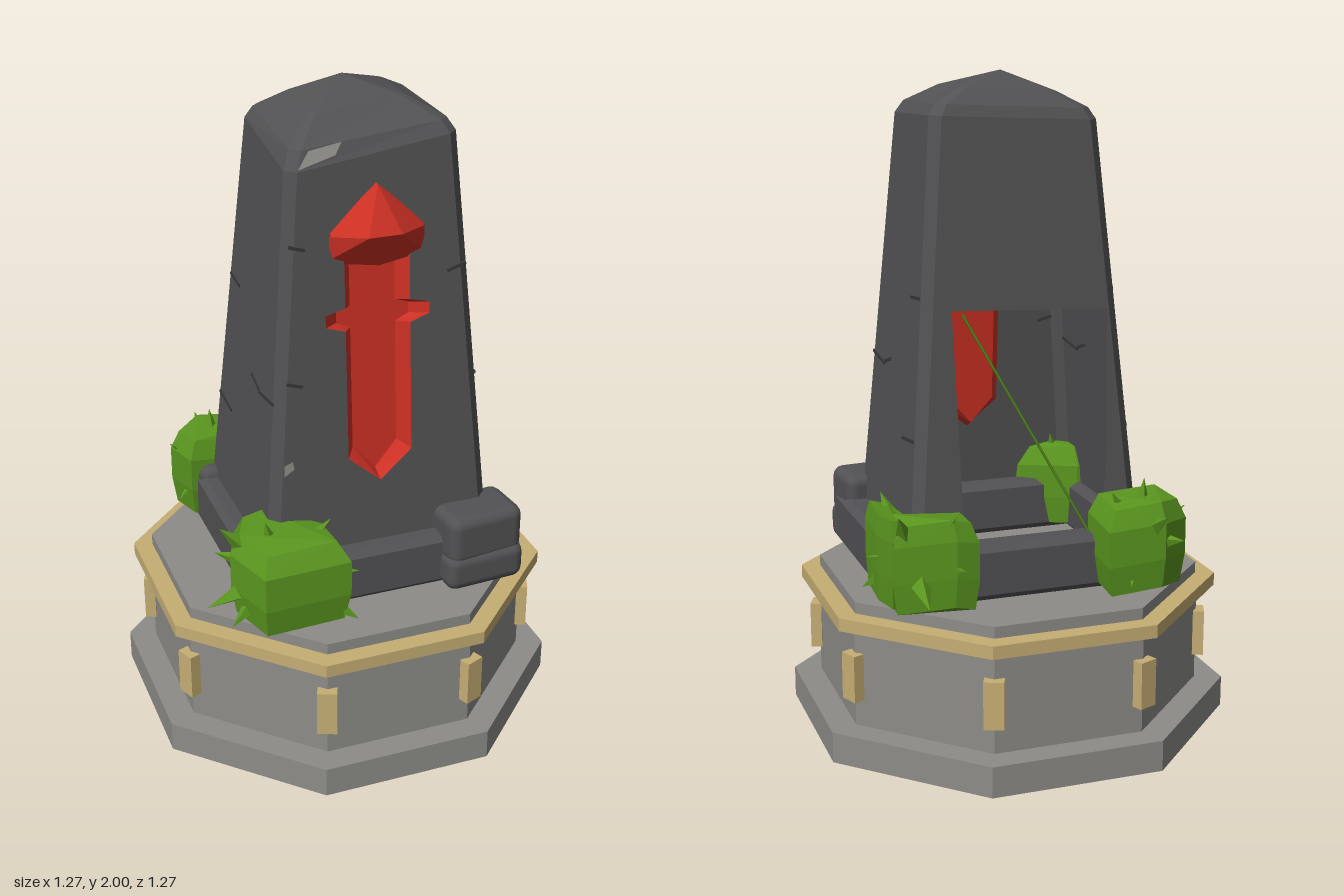
import * as THREE from 'three';
import { ConvexGeometry } from 'three/addons/geometries/ConvexGeometry.js';
import { RoundedBoxGeometry } from 'three/addons/geometries/RoundedBoxGeometry.js';

const mat = (name, color) => new THREE.MeshStandardMaterial({ name, color, side: THREE.DoubleSide });
const V = (x, y, z) => new THREE.Vector3(x, y, z);

// Tapering faces of the monument as functions of height
const left = y => -0.31 + (y - 0.8) * 0.084;
const right = y => 0.38 - (y - 0.8) * 0.084;
const front = y => 0.3 - (y - 0.8) * 0.07;
const back = y => -0.29 + (y - 0.8) * 0.093;

export function createModel() {
  const paleStone = mat('pale stone', 0x8d8c88);
  const gold = mat('gold trim', 0xc6ae74);
  const darkStone = mat('dark stone', 0x525254);
  const crackStone = mat('crack', 0x38383a);
  const red = mat('red', 0xcc3024);
  const green = mat('leaf green', 0x5a961f);

  const model = new THREE.Group();
  const add = (name, geo, material, parent = model) => {
    const m = new THREE.Mesh(geo, material);
    m.name = name;
    parent.add(m);
    return m;
  };
  const flat = geo => {
    const g = geo.index ? geo.toNonIndexed() : geo;
    g.computeVertexNormals();
    return g;
  };
  // Flat-shaded surface from quads and triangles of points
  const surface = polys => {
    const pts = [];
    for (const p of polys) for (let i = 1; i < p.length - 1; i++) pts.push(p[0], p[i], p[i + 1]);
    const g = new THREE.BufferGeometry().setFromPoints(pts);
    g.computeVertexNormals();
    return g;
  };
  // Upright panel leaned onto a sloping face
  const panel = (shape, depth) => {
    const g = new THREE.ShapeGeometry(shape);
    const p = g.attributes.position;
    for (let i = 0; i < p.count; i++) p.setZ(i, depth(p.getY(i)));
    return flat(g);
  };
  const shapeOf = pts => new THREE.Shape(pts.map(p => new THREE.Vector2(p[0], p[1])));

  // Octagonal pedestal
  const octagon = (name, apothem, y0, y1, material) => {
    const r = apothem / Math.cos(Math.PI / 8);
    const g = new THREE.CylinderGeometry(r, r, y1 - y0, 8).rotateY(Math.PI / 8).translate(0, (y0 + y1) / 2, 0);
    add(name, flat(g), material);
  };
  octagon('plinth', 0.635, 0, 0.095, paleStone);
  octagon('drum', 0.555, 0.095, 0.41, paleStone);
  octagon('goldRim', 0.605, 0.405, 0.445, gold);
  octagon('pedestalTop', 0.55, 0.44, 0.48, paleStone);
  for (let i = 0; i < 8; i++) {
    const a = Math.PI / 8 + i * Math.PI / 4;
    const stud = add('goldStud', new THREE.BoxGeometry(0.06, 0.145, 0.035), gold);
    stud.position.set(Math.sin(a) * 0.608, 0.252, Math.cos(a) * 0.608);
    stud.rotation.y = a;
  }

  // Stone kerb around the foot, open in the middle
  const kerbShape = shapeOf([[-0.36, -0.35], [0.445, -0.35], [0.445, 0.335], [-0.36, 0.335]]);
  kerbShape.holes.push(shapeOf([[-0.31, -0.27], [-0.31, 0.28], [0.36, 0.28], [0.36, -0.27]]));
  const kerb = new THREE.ExtrudeGeometry(kerbShape, {
    depth: 0.13, bevelEnabled: true, bevelThickness: 0.02, bevelSize: 0.02, bevelSegments: 1
  }).rotateX(-Math.PI / 2).translate(0, 0.5, 0);
  add('kerb', kerb, darkStone);

  // Corner boulders: x, y, z, width, height, depth, turn
  const boulders = [
    [0.335, 0.645, 0.33, 0.25, 0.16, 0.18, 0.1], [0.335, 0.54, 0.335, 0.26, 0.12, 0.19, 0.06],
    [-0.3, 0.58, -0.29, 0.15, 0.2, 0.13, 0], [0.39, 0.58, -0.28, 0.15, 0.2, 0.13, 0]
  ];
  for (const [x, y, z, w, h, d, turn] of boulders) {
    const b = add('cornerBoulder', new RoundedBoxGeometry(w, h, d, 2, 0.035), darkStone);
    b.position.set(x, y, z);
    b.rotation.y = turn;
  }

  // Monument shaft: chamfered rings, corner heights FL, FR, BR, BL
  const c = 0.03;
  const ring = ([fl, fr, br, bl]) => [
    V(left(fl) + c, fl, front(fl)), V(right(fr) - c, fr, front(fr)),
    V(right(fr), fr, front(fr) - c), V(right(br), br, back(br) + c),
    V(right(br) - c, br, back(br)), V(left(bl) + c, bl, back(bl)),
    V(left(bl), bl, back(bl) + c), V(left(fl), fl, front(fl) - c)
  ];
  const foot = ring([0.48, 0.48, 0.48, 0.48]);
  const shoulder = ring([1.81, 1.87, 1.88, 1.86]);
  const peak = V(0.03, 2.0, -0.03);
  const crown = shoulder.map(p => {
    const q = p.clone().lerp(peak, 0.42);
    q.y = p.x > 0 ? 1.955 : 1.94;
    return q;
  });
  // Softer break just above the shoulder
  const brow = shoulder.map((p, i) => {
    const q = p.clone().lerp(crown[i], 0.2);
    q.y = p.y + (crown[i].y - p.y) * 0.42;
    return q;
  });
  const band = (a, b, skip = []) => a.map((p, i) => [p, a[(i + 1) % 8], b[(i + 1) % 8], b[i]])
    .filter((_, i) => !skip.includes(i));
  add('shaftSides', surface(band(foot, shoulder, [0, 4])), darkStone);
  add('shaftCap', surface([...band(shoulder, brow), ...band(brow, crown),
    ...crown.map((p, i) => [p, crown[(i + 1) % 8], peak])]), darkStone);

  // Front face with a sunken sword outline
  const half = [[0.1, 1.56], [0.1, 1.4], [0.16, 1.385], [0.16, 1.35], [0.1, 1.33], [0.1, 0.93]];
  const sword = [...half, [0, 0.845], ...half.slice().reverse().map(([x, y]) => [-x, y])];
  const rim = sword.map(([x, y]) => [x + 0.035, y]);
  const floor = sword.map(([x, y]) => [x * 0.7 + 0.035, 1.2 + (y - 1.2) * 0.94]);
  const faceShape = shapeOf([foot[0], foot[1], shoulder[1], shoulder[0]].map(p => [p.x, p.y]));
  faceShape.holes.push(shapeOf(rim));
  add('shaftFront', panel(faceShape, front), darkStone);
  const sunk = y => front(y) - 0.045;
  add('swordFloor', panel(shapeOf(floor), sunk), red);
  const onFace = (list, f) => list.map(([x, y]) => V(x, y, f(y)));
  const outer = onFace(rim, front), inner = onFace(floor, sunk), n = outer.length;
  add('swordWalls', surface(outer.map((p, i) => [p, outer[(i + 1) % n], inner[(i + 1) % n], inner[i]])), red);

  // Faceted pommel standing out from the front
  const pommel = [[0.035, 1.76], [0.175, 1.64], [0.19, 1.53], [0.035, 1.515], [-0.118, 1.535], [-0.105, 1.64]]
    .map(([x, y]) => V(x, y, front(y) - 0.02));
  pommel.push(V(0.175, 1.62, 0.255), V(-0.105, 1.62, 0.255), V(-0.02, 1.63, 0.325), V(0.08, 1.63, 0.325),
    V(0.035, 1.52, 0.262), V(0.035, 1.755, 0.245));
  add('pommel', flat(new ConvexGeometry(pommel)), red);

  // Broken back face: whole above, open below
  const backShape = shapeOf([foot[5], foot[4], shoulder[4], shoulder[5]].map(p => [p.x, p.y]));
  backShape.holes.push(shapeOf([[0.25, 1.33], [-0.23, 1.31], [-0.22, 0.9], [-0.18, 0.49], [0.23, 0.49]]));
  add('shaftBack', panel(backShape, back), darkStone);
  add('hangingVine', new THREE.TubeGeometry(
    new THREE.LineCurve3(V(0.22, 1.32, -0.245), V(-0.18, 0.6, -0.31)), 1, 0.004, 4), green);

  // Worn pale patches
  const onCap = (u, v) => shoulder[0].clone().lerp(shoulder[1], u)
    .lerp(brow[0].clone().lerp(brow[1], u), v).add(V(0, 0.004, 0.004));
  add('wornPatch', surface([[onCap(0, 0.05), onCap(0.24, 0.35), onCap(0.28, 0.95), onCap(0.05, 0.85)]]), paleStone);
  add('wornPatch', panel(shapeOf([[-0.268, 0.91], [-0.235, 0.93], [-0.24, 0.955], [-0.266, 0.945]]),
    y => front(y) + 0.004), paleStone);

  // Cracks: start and end along the face, height, tilt
  const crack = (a, b, y, tilt, side) => {
    const m = add('crack', new THREE.BoxGeometry(b - a, 0.009, 0.008), crackStone);
    const mid = (a + b) / 2;
    if (side === 0) m.position.set(mid, y, front(y));
    else m.position.set(side > 0 ? right(y) : left(y), y, mid);
    m.rotation.set(0, side * Math.PI / 2, tilt);
  };
  crack(-0.23, -0.18, 1.595, -0.3, 0);
  crack(0.25, 0.31, 1.48, 0.3, 0);
  crack(-0.25, -0.2, 1.19, -0.3, 0);
  for (const s of [1, -1]) {
    crack(0.12, 0.25, 1.12, -0.12 * s, s);
    crack(0.05, 0.12, 1.13, 0.3 * s, s);
    crack(-0.2, -0.11, 1.36, 0.1 * s, s);
    crack(-0.24, -0.12, 0.945, 0.12 * s, s);
  }

  // Angular bushes with leaf spikes
  const bush = (name, lobes, spikes) => {
    const g = new THREE.Group();
    g.name = name;
    model.add(g);
    const heart = V(0, 0.62, 0);
    for (const lobe of lobes) {
      const cx = lobe.reduce((s, p) => s + p[0], 0) / lobe.length;
      const cz = lobe.reduce((s, p) => s + p[1], 0) / lobe.length;
      heart.x += cx / lobes.length;
      heart.z += cz / lobes.length;
      const pts = [];
      for (const [y, k] of [[0.49, 0.9], [0.58, 1], [0.69, 1], [0.75, 0.8]])
        lobe.forEach(([x, z], i) => pts.push(V(cx + (x - cx) * k, y + (i % 2) * 0.015, cz + (z - cz) * k)));
      add('foliage', flat(new ConvexGeometry(pts)), green, g);
    }
    for (const [x, y, z] of spikes) {
      const tip = V(x, y, z), dir = tip.clone().sub(heart).normalize();
      const s = add('leafSpike', flat(new THREE.ConeGeometry(0.045, 0.15, 4)), green, g);
      s.position.copy(tip).addScaledVector(dir, -0.075);
      s.quaternion.setFromUnitVectors(V(0, 1, 0), dir);
    }
  };
  bush('frontBush', [[[-0.39, 0.18], [-0.31, 0.18], [-0.13, 0.32], [-0.13, 0.49], [-0.39, 0.48], [-0.45, 0.33]]],
    [[-0.48, 0.8, 0.33], [-0.35, 0.81, 0.36], [-0.15, 0.79, 0.37], [-0.53, 0.55, 0.35], [-0.47, 0.5, 0.4],
      [-0.07, 0.61, 0.4], [-0.11, 0.51, 0.5], [-0.47, 0.66, 0.23], [-0.25, 0.8, 0.28]]);
  bush('backRightBush', [[[-0.43, -0.4], [-0.33, -0.48], [-0.155, -0.47], [-0.155, -0.3], [-0.28, -0.27], [-0.4, -0.26]]],
    [[-0.37, 0.66, -0.52], [-0.31, 0.74, -0.53], [-0.44, 0.72, -0.37], [-0.3, 0.82, -0.38],
      [-0.22, 0.52, -0.48], [-0.44, 0.55, -0.29], [-0.19, 0.79, -0.4]]);
  bush('backLeftBush', [
    [[0.23, -0.43], [0.3, -0.44], [0.48, -0.4], [0.48, -0.3], [0.23, -0.3]],
    [[0.39, -0.38], [0.48, -0.4], [0.49, -0.26], [0.49, -0.13], [0.42, -0.13]]
  ], [[0.47, 0.79, -0.43], [0.45, 0.79, -0.16], [0.46, 0.79, -0.27], [0.52, 0.62, -0.24], [0.51, 0.5, -0.16],
    [0.4, 0.53, -0.5], [0.28, 0.62, -0.46], [0.3, 0.78, -0.44]]);

  return model;
}
